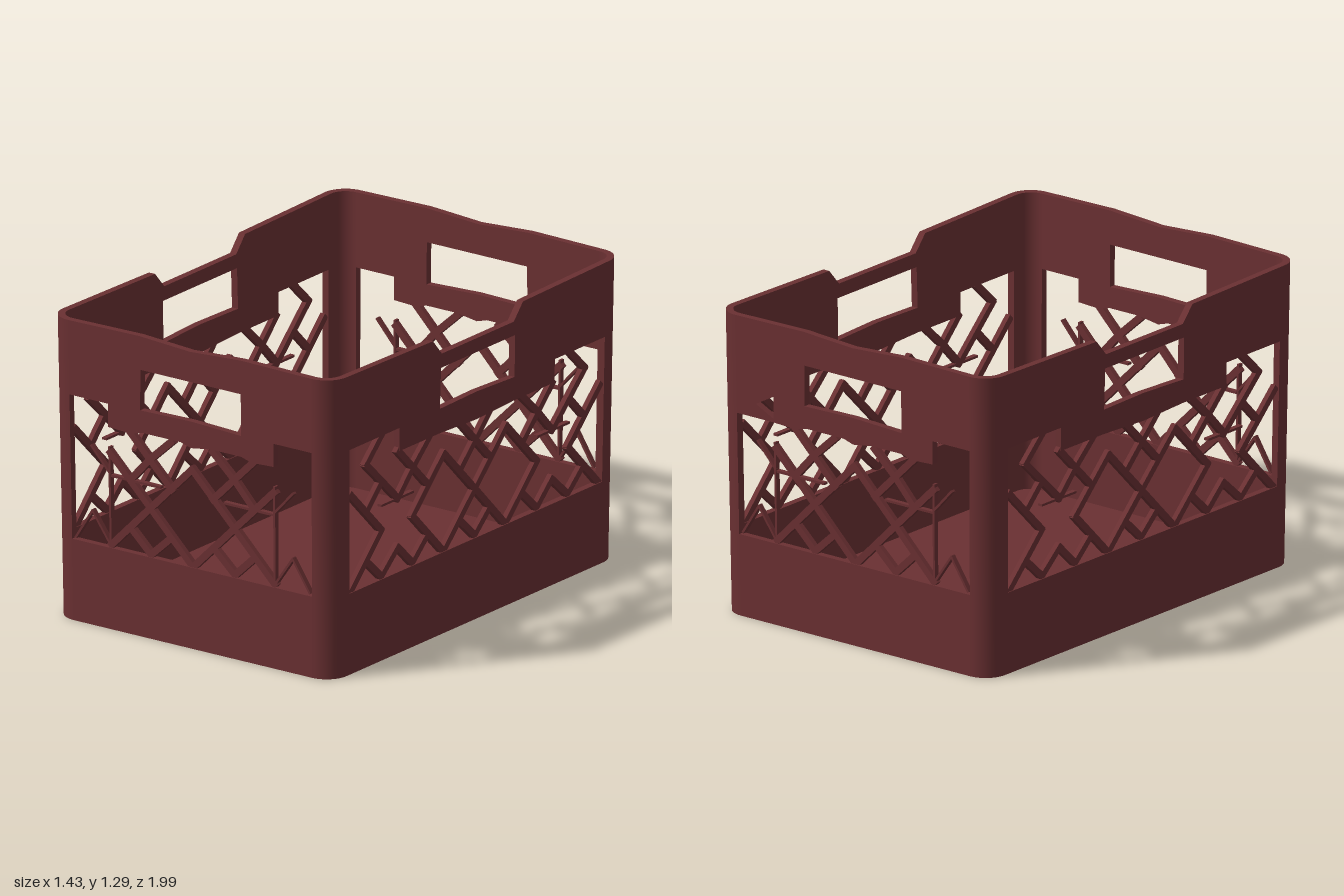
import * as THREE from 'three';
import { toCreasedNormals } from 'three/addons/utils/BufferGeometryUtils.js';

const W = 0.7, D = 0.975, H = 1.29, T = 0.03, R = 0.1, BAND = 0.35;

export function createModel() {
  const crate = new THREE.Group();
  crate.name = 'crate';
  const plastic = new THREE.MeshStandardMaterial({ color: 0x6a3032 });
  plastic.name = 'maroon plastic';

  // Walls lean outward slightly towards the rim
  const add = (geo, name) => {
    const p = geo.attributes.position;
    for (let i = 0; i < p.count; i++) {
      const k = 1 + 0.022 * p.getY(i) / H;
      p.setX(i, p.getX(i) * k);
      p.setZ(i, p.getZ(i) * k);
    }
    const mesh = new THREE.Mesh(toCreasedNormals(geo, 0.6), plastic);
    mesh.name = name;
    crate.add(mesh);
  };
  const poly = (pts) => pts.map(([x, y]) => new THREE.Vector2(x, y));

  // Floor with rounded corners
  const roundedRect = (w, d, r) => {
    const s = new THREE.Shape();
    s.absarc(w - r, d - r, r, 0, Math.PI / 2);
    s.absarc(-w + r, d - r, r, Math.PI / 2, Math.PI);
    s.absarc(-w + r, -d + r, r, Math.PI, Math.PI * 1.5);
    s.absarc(w - r, -d + r, r, Math.PI * 1.5, Math.PI * 2);
    return s;
  };
  const floor = new THREE.ExtrudeGeometry(roundedRect(W - 0.008, D - 0.008, R), { depth: 0.03, bevelEnabled: false, curveSegments: 5 });
  floor.rotateX(-Math.PI / 2);
  add(floor, 'floor');

  // Rounded corner posts
  for (const sx of [1, -1]) for (const sz of [1, -1]) {
    const start = sx > 0 ? (sz > 0 ? 0 : 1.5) : (sz > 0 ? 0.5 : 1);
    const s = new THREE.Shape();
    const a = start * Math.PI, b = a + Math.PI / 2;
    s.absarc(0, 0, R, a, b, false);
    s.absarc(0, 0, R - T, b, a, true);
    const g = new THREE.ExtrudeGeometry(s, { depth: H, bevelEnabled: false, curveSegments: 5 });
    g.rotateX(-Math.PI / 2);
    g.translate(sx * (W - R), 0, -sz * (D - R));
    add(g, 'cornerPost');
  }

  // A wall is placed by turning it about the vertical axis
  const place = (g, dist, angle, name) => {
    g.translate(0, 0, dist);
    g.rotateY(angle);
    add(g, name);
  };
  const panel = (pts, holes, dist, angle, name) => {
    const s = new THREE.Shape(poly(pts));
    for (const h of holes) s.holes.push(new THREE.Path(poly(h)));
    place(new THREE.ExtrudeGeometry(s, { depth: T, bevelEnabled: false }), dist - T, angle, name);
  };
  const strip = (a, b, width, dist, angle) => {
    const dx = b[0] - a[0], dy = b[1] - a[1];
    const g = new THREE.BoxGeometry(Math.hypot(dx, dy) + width * 0.7, width, 0.022);
    g.rotateZ(Math.atan2(dy, dx));
    g.translate((a[0] + b[0]) / 2, (a[1] + b[1]) / 2, 0);
    place(g, dist - T / 2, angle, 'latticeStrip');
  };
  const lattice = (paths, width, dist, angle) => {
    for (const path of paths) for (const m of [1, -1])
      for (let i = 1; i < path.length; i++) {
        const [a, b] = [path[i - 1], path[i]];
        strip([a[0] * m, a[1]], [b[0] * m, b[1]], width, dist, angle);
      }
  };
  const handle = [[-0.25, 0.975], [-0.245, 1.15], [0.25, 1.15], [0.25, 0.97], [0, 0.98]];
  const band = (half) => [[-half, 0], [half, 0], [half, BAND], [-half, BAND]];

  // Short walls: front and back
  const endPaths = [
    [[0, 0.77], [0.21, 0.56], [0, 0.35]],
    [[0.41, 0.76], [0.21, 0.56], [0.41, 0.36]],
    [[0.105, 0.455], [0.21, 0.36], [0.31, 0.455]],
    [[0.1, 0.66], [0.21, 0.77], [0.31, 0.66]],
    [[0.1, 0.87], [0.21, 0.77], [0.31, 0.87]],
  ];
  const endThin = [
    [[0.41, 0.36], [0.41, 0.78]],
    [[0.41, 0.36], [0.5, 0.49], [0.585, 0.36]],
    [[0.41, 0.67], [0.5, 0.77]],
    [[0.16, 0.66], [0.4, 0.66]],
  ];
  const e = W - R;
  for (const [angle, side] of [[0, 'front'], [Math.PI, 'back']]) {
    const isBack = side === 'back';
    const leftStep = isBack
      ? [[-e, 0.87], [-0.41, 0.87]]
      : [[-e, 0.97], [-0.41, 0.97], [-0.41, 0.87]];
    const rim = [
      ...leftStep, [-0.3, 0.865], [-0.24, 0.88], [-0.05, 0.88], [0, 0.865], [0.1, 0.88],
      [0.25, 0.88], [0.3, 0.865], [0.41, 0.87], [0.41, 0.97], [e, 0.97],
      [e, H], [0.25, H + 0.005], [0, H - 0.01], [-0.25, H + 0.005], [-e, H],
    ];
    const gap = [[-0.41, 0.885], [-0.5, 0.93], [-0.41, 0.98]];
    panel(rim, isBack ? [handle, gap] : [handle], D, angle, side + 'Rim');
    panel(band(e), [], D, angle, side + 'Band');
    lattice(endPaths, 0.03, D, angle);
    lattice(endThin, 0.01, D, angle);
  }

  // Long walls: left and right, with a lowered rim above the handle
  const sidePaths = [
    [[0, 0.56], [0.21, 0.77], [0.42, 0.56], [0.21, 0.35], [0, 0.56]],
    [[0.84, 0.77], [0.63, 0.56], [0.84, 0.35]],
    [[0, 0.36], [0.105, 0.455]],
    [[0.315, 0.455], [0.42, 0.36], [0.52, 0.455], [0.63, 0.36], [0.735, 0.455]],
    [[0, 0.77], [0.105, 0.665]],
    [[0, 0.77], [0.1, 0.87]],
    [[0.315, 0.665], [0.42, 0.77], [0.52, 0.665], [0.63, 0.77], [0.735, 0.665]],
    [[0.31, 0.87], [0.42, 0.77], [0.52, 0.87]],
    [[0.63, 0.77], [0.735, 0.87], [0.63, 0.97]],
  ];
  const f = D - R;
  const sideRim = [
    [-f, 0.97], [-0.52, 0.97], [-0.52, 0.87], [-0.25, 0.87], [0, 0.86], [0.25, 0.87], [0.52, 0.87], [0.52, 0.97], [f, 0.97],
    [f, H], [0.3, H - 0.01], [0.24, 1.21], [-0.24, 1.21], [-0.3, H - 0.01], [-f, H],
  ];
  for (const [angle, side] of [[Math.PI / 2, 'left'], [-Math.PI / 2, 'right']]) {
    panel(sideRim, [handle], W, angle, side + 'Rim');
    panel(band(f), [], W, angle, side + 'Band');
    lattice(sidePaths, 0.03, W, angle);
    lattice([[[0.42, 0.665], [0.63, 0.665]]], 0.01, W, angle);
    // Uprights beside the corner posts
    for (const s of [1, -1])
      panel([[s * f, BAND], [s * 0.855, BAND], [s * 0.855, 0.98], [s * f, 0.98]], [], W, angle, side + 'Upright');
  }
  return crate;
}
